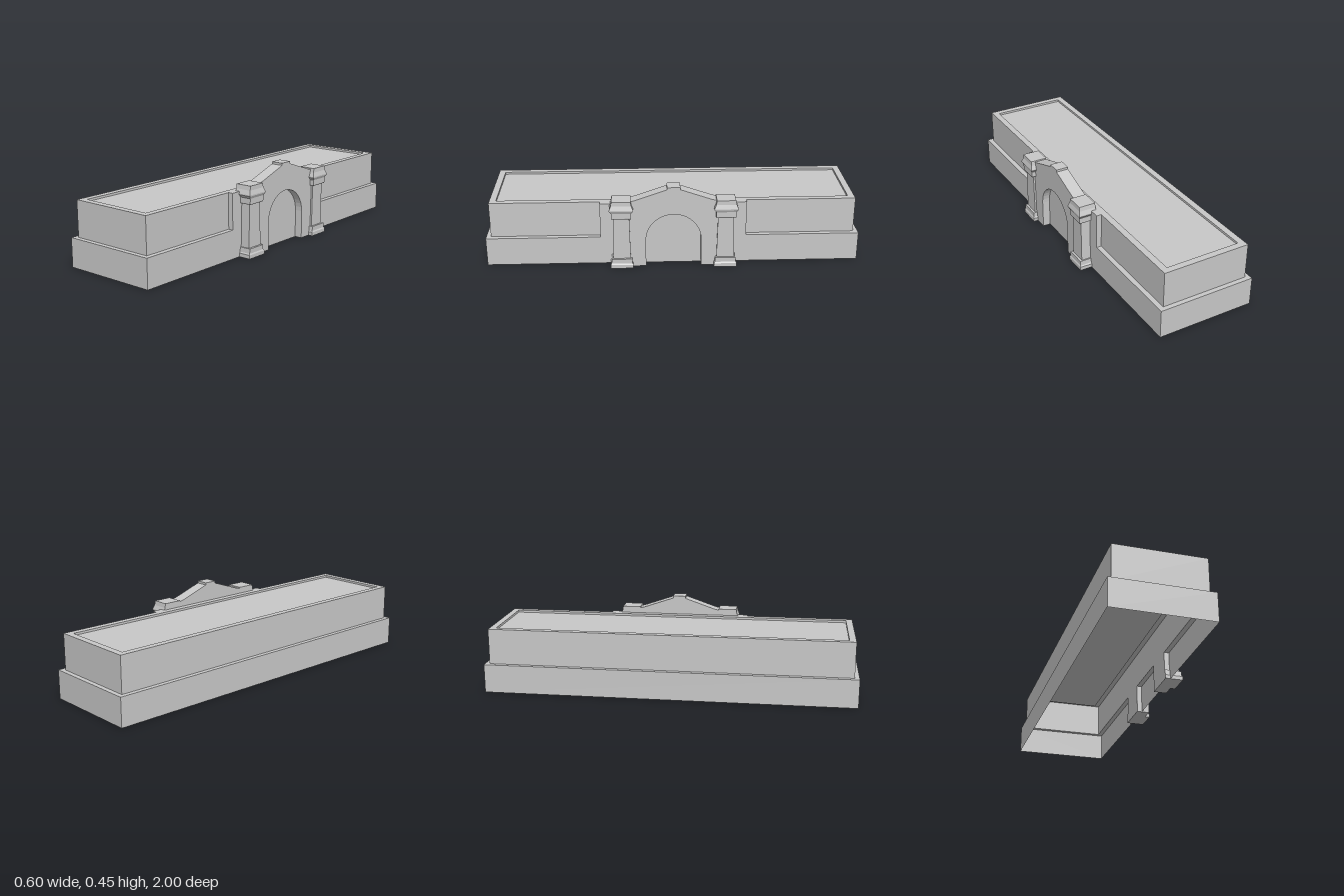
import * as THREE from 'three';

// Stacks rectangular rings [y, x0, x1, z0, z1] into a sharp-edged solid, closed on top
function stack(rings, closeBottom) {
  const pos = [];
  const corners = ([y, x0, x1, z0, z1]) => [[x0, y, z1], [x1, y, z1], [x1, y, z0], [x0, y, z0]];
  const quad = (a, b, c, d) => pos.push(...a, ...b, ...c, ...a, ...c, ...d);
  for (let i = 0; i < rings.length - 1; i++) {
    const lo = corners(rings[i]), hi = corners(rings[i + 1]);
    for (let k = 0; k < 4; k++) {
      const n = (k + 1) % 4;
      quad(lo[k], lo[n], hi[n], hi[k]);
    }
  }
  quad(...corners(rings[rings.length - 1]));
  if (closeBottom) quad(...corners(rings[0]).reverse());
  const g = new THREE.BufferGeometry();
  g.setAttribute('position', new THREE.Float32BufferAttribute(pos, 3));
  g.computeVertexNormals();
  return g;
}

export function createModel() {
  const group = new THREE.Group();
  const stone = new THREE.MeshStandardMaterial({ color: 0xc8c8c8, side: THREE.DoubleSide });
  stone.name = 'grey stone';
  const add = (name, geometry) => {
    const mesh = new THREE.Mesh(geometry, stone);
    mesh.name = name;
    group.add(mesh);
    return mesh;
  };

  // Hall: wide plinth, stepped-in walls and shallow sunken roof, open underneath
  const ring = (y, x0, x1, z) => [y, x0, x1, -z, z];
  add('hall', stack([
    ring(0, -0.302, 0.23, 1),
    ring(0.155, -0.302, 0.23, 1),
    ring(0.155, -0.277, 0.203, 0.975),
    ring(0.348, -0.277, 0.203, 0.975),
    ring(0.348, -0.242, 0.168, 0.94),
    ring(0.336, -0.242, 0.168, 0.94),
  ], false));

  // Shallow wall projection behind the portal
  const bay = add('entranceBay', new THREE.BoxGeometry(0.027, 0.193, 0.78));
  bay.position.set(0.2165, 0.2515, 0);

  // Gabled portal with an arched opening, drawn in (z, y) and extruded along x
  const arch = 0.147, spring = 0.153;
  const face = new THREE.Shape();
  face.moveTo(-0.25, 0);
  face.lineTo(-arch, 0);
  face.lineTo(-arch, spring);
  face.absarc(0, spring, arch, Math.PI, 0, true);
  face.lineTo(arch, 0);
  face.lineTo(0.25, 0);
  for (const [z, y] of [[0.25, 0.37], [0.2, 0.383], [0.035, 0.44], [0.035, 0.452],
    [-0.035, 0.452], [-0.035, 0.44], [-0.2, 0.383], [-0.25, 0.37]]) face.lineTo(z, y);
  const portal = add('gabledPortal',
    new THREE.ExtrudeGeometry(face, { depth: 0.069, bevelEnabled: false, curveSegments: 10 }));
  portal.rotation.y = Math.PI / 2;
  portal.position.x = 0.203;

  // Columns with moulded base, tapered shaft and flared capital: [y, front x, half width]
  const profile = [
    [0, 0.298, 0.061], [0.02, 0.298, 0.061], [0.027, 0.294, 0.056], [0.052, 0.294, 0.054],
    [0.052, 0.282, 0.047], [0.285, 0.282, 0.042],
    [0.285, 0.293, 0.051], [0.29, 0.295, 0.053], [0.318, 0.295, 0.053],
    [0.332, 0.302, 0.063], [0.338, 0.302, 0.063], [0.36, 0.295, 0.054], [0.383, 0.294, 0.05],
  ];
  for (const [name, side] of [['frontColumn', 1], ['rearColumn', -1]]) {
    const c = side * 0.276;
    add(name, stack(profile.map(([y, x, w]) => [y, 0.203, x, c - w, c + w]), true));
  }

  return group;
}
